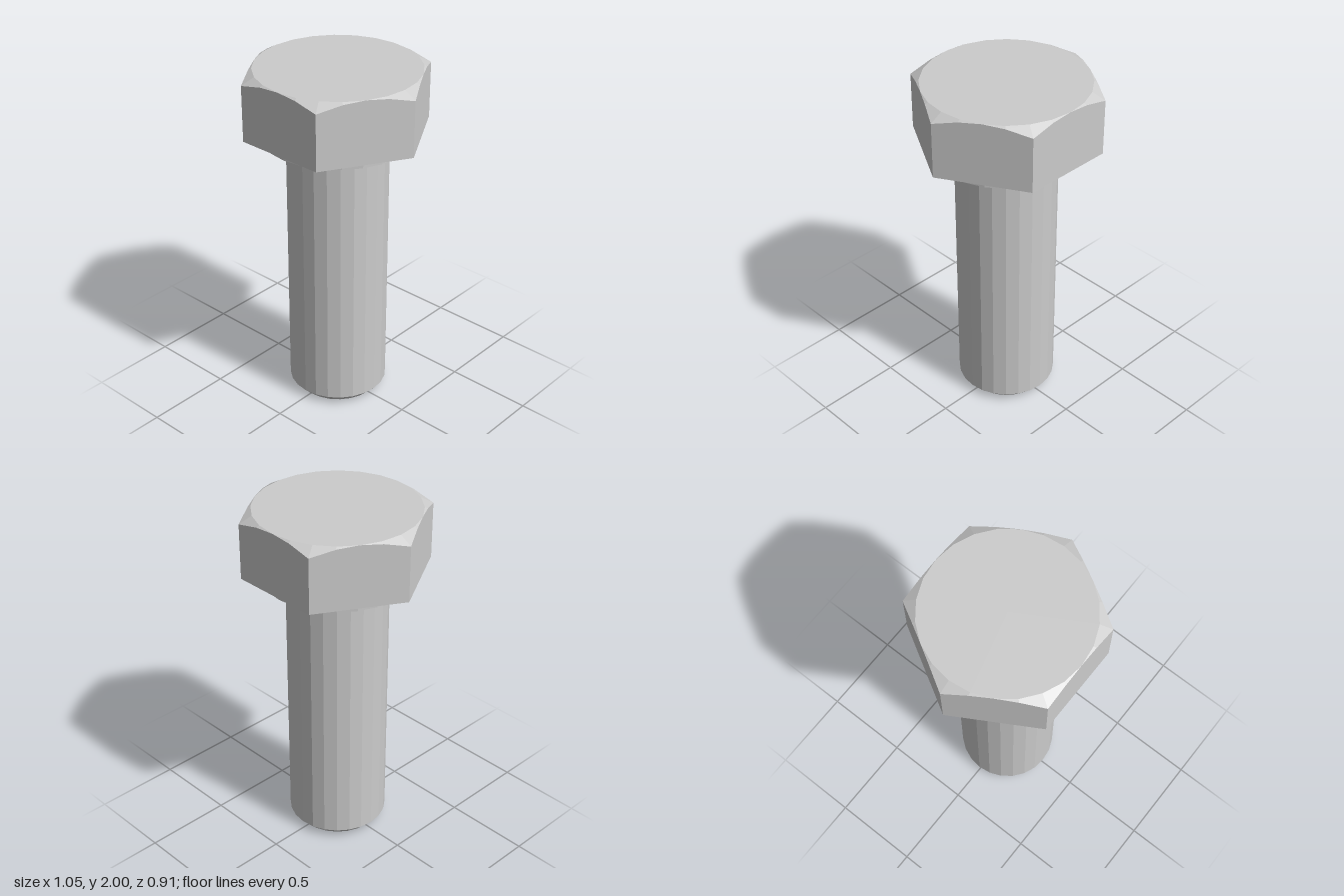
import * as THREE from 'three';

const SIDES = 24;
const APOTHEM = 0.456; // centre to flat of the hexagon
const TOP = 2, HEAD_BASE = 1.64;

// Distance from the axis to the hexagon outline, with corners on the x axis
function hexRadius(a) {
  const sector = Math.PI / 3;
  return APOTHEM / Math.cos((a % sector) - sector / 2);
}

// Hexagonal head: rings from top centre to bottom centre, trimmed by a 30 degree cone
function headGeometry() {
  const chamfer = Math.tan(Math.PI / 6);
  const rings = [
    () => [0, TOP],
    () => [APOTHEM, TOP],
    (a) => [hexRadius(a), TOP - (hexRadius(a) - APOTHEM) * chamfer],
    (a) => [hexRadius(a), HEAD_BASE],
    () => [0, HEAD_BASE],
  ];
  const positions = [], index = [];
  rings.forEach((ring, k) => {
    for (let i = 0; i < SIDES; i++) {
      const a = (i / SIDES) * Math.PI * 2;
      const [r, y] = ring(a);
      positions.push(r * Math.cos(a), y, r * Math.sin(a));
      if (k === 0) continue;
      const j = (i + 1) % SIDES;
      const u = (k - 1) * SIDES, l = k * SIDES;
      if (k > 1 && k < rings.length - 1) index.push(u + i, u + j, l + j, u + i, l + j, l + i);
      else if (k === 1) index.push(u + i, l + j, l + i);
      else index.push(u + i, u + j, l + i);
    }
  });
  const geometry = new THREE.BufferGeometry();
  geometry.setAttribute('position', new THREE.Float32BufferAttribute(positions, 3));
  geometry.setIndex(index);
  const flat = geometry.toNonIndexed();
  flat.computeVertexNormals();
  return flat;
}

function lathe(points) {
  return new THREE.LatheGeometry(points.map(([r, y]) => new THREE.Vector2(r, y)), SIDES);
}

export function createModel() {
  const group = new THREE.Group();
  group.name = 'hexBolt';
  const material = new THREE.MeshStandardMaterial({ color: 0xcccccc, flatShading: true });
  const add = (name, geometry) => {
    const mesh = new THREE.Mesh(geometry, material);
    mesh.name = name;
    group.add(mesh);
  };

  add('head', headGeometry());

  // Thin bearing collar under the head
  add('washerFace', lathe([[0.29, 1.605], [0.422, 1.605], [0.422, HEAD_BASE]]));

  // Shank with chamfered tip and a small fillet into the collar
  add('shank', lathe([
    [0, 0], [0.237, 0], [0.283, 0.047], [0.283, 1.585],
    [0.286, 1.595], [0.292, 1.602], [0.302, 1.605],
  ]));

  return group;
}
